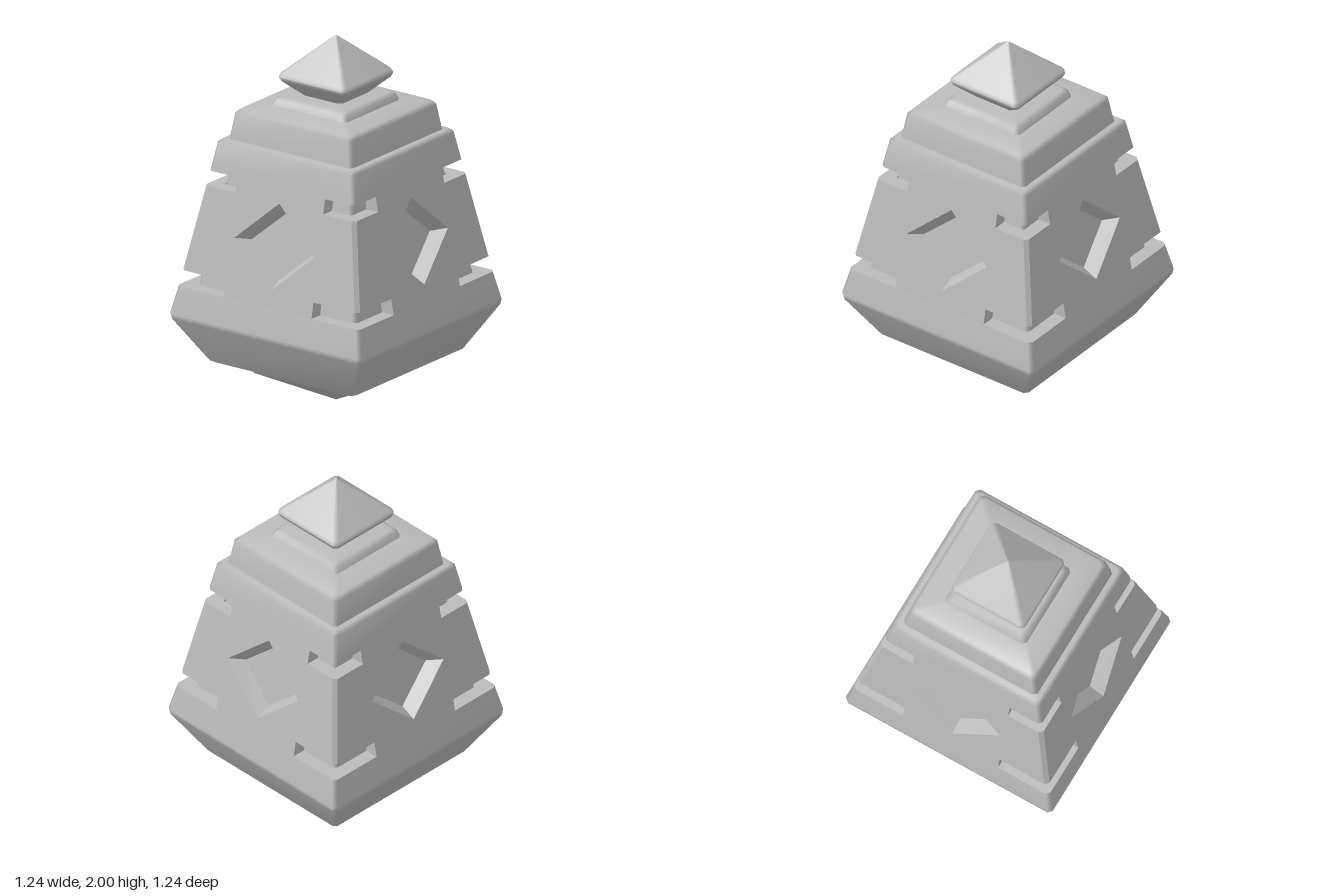
import * as THREE from 'three';

const CHAMFER = 0.02; // width of the softened vertical edges
const DEPTH = 0.075; // depth of the notches and diamond recesses
const wallHalf = (y) => 0.62 - 0.1865 * (y - 0.5); // half width of the tapering wall

// Joins rings of points, listed from bottom to top, into one surface
function loft(rings) {
  const n = rings[0].length;
  const index = [];
  for (let r = 0; r < rings.length - 1; r++) {
    for (let i = 0; i < n; i++) {
      const a = r * n + i, b = r * n + (i + 1) % n;
      index.push(a, a + n, b, b, a + n, b + n);
    }
  }
  const geometry = new THREE.BufferGeometry();
  geometry.setAttribute('position', new THREE.Float32BufferAttribute(rings.flat(2), 3));
  geometry.setIndex(index);
  geometry.computeVertexNormals();
  return geometry;
}

// Square ring with chamfered corners
function squareRing(h, y) {
  const k = h - Math.min(CHAMFER, h * 0.5);
  return [[h, y, -k], [h, y, k], [k, y, h], [-k, y, h],
    [-h, y, k], [-h, y, -k], [-k, y, -h], [k, y, -h]];
}

// Square tier from [half width, y, bevel] points; a bevel of 0 leaves a sharp edge
function tier(profile) {
  const rings = [];
  profile.forEach(([h, y, bevel = 0.018], i) => {
    const ends = [profile[i - 1], profile[i + 1]];
    if (!ends[0] || !ends[1]) {
      rings.push(squareRing(h, y));
      return;
    }
    for (const [eh, ey] of ends) {
      const length = Math.hypot(eh - h, ey - y);
      const t = Math.min(bevel / length, 0.4);
      rings.push(squareRing(h + (eh - h) * t, y + (ey - y) * t));
    }
  });
  return loft(rings);
}

// One sloping wall with corner notches and a tapering diamond recess
function wallGeometry() {
  const edge = (y) => wallHalf(y) - CHAMFER;
  const right = [[0.285, 0.665], [0.285, 0.75], [edge(0.75), 0.75],
    [edge(1.21), 1.21], [0.285, 1.21], [0.285, 1.29]];
  const left = right.map(([x, y]) => [-x, y]).reverse();
  const shape = new THREE.Shape([...right, ...left].map((p) => new THREE.Vector2(...p)));
  const diamond = [[0, 0.75], [-0.26, 0.98], [0, 1.21], [0.26, 0.98]];
  shape.holes.push(new THREE.Path([...diamond, diamond[0]].map((p) => new THREE.Vector2(...p))));

  const geometry = new THREE.ExtrudeGeometry(shape, { depth: DEPTH, bevelEnabled: false });
  const pos = geometry.attributes.position;
  for (let i = 0; i < pos.count; i++) {
    let x = pos.getX(i), y = pos.getY(i);
    const inner = pos.getZ(i) < DEPTH / 2;
    if (inner && Math.abs(x) < 0.28) {
      x *= 0.77;
      y = 0.965 + (y - 0.98) * 0.76;
    } else if (inner && Math.abs(x) > 0.3) {
      x = Math.sign(x) * (wallHalf(y) - DEPTH);
    }
    pos.setXYZ(i, x, y, wallHalf(y) - (inner ? DEPTH : 0));
  }
  geometry.computeVertexNormals();
  return geometry;
}

// Chamfered corner that closes the mitre between two walls
function cornerGeometry() {
  const ring = (y) => {
    const h = wallHalf(y);
    return [[h, y, h - CHAMFER], [h - CHAMFER, y, h], [h - DEPTH, y, h - DEPTH]];
  };
  const middle = (y) => Array(3).fill([wallHalf(y) - 0.03, y, wallHalf(y) - 0.03]);
  const geometry = loft([middle(0.75), ring(0.75), ring(1.21), middle(1.21)]).toNonIndexed();
  geometry.computeVertexNormals();
  return geometry;
}

export function createModel() {
  const model = new THREE.Group();
  model.name = 'steppedLantern';
  const stone = new THREE.MeshStandardMaterial({ color: 0xbbbbbb });
  stone.name = 'greyStone';

  const add = (name, geometry, angle = 0) => {
    const mesh = new THREE.Mesh(geometry, stone);
    mesh.name = name;
    mesh.rotation.y = angle;
    model.add(mesh);
  };

  // Stacked tiers, from the bottom point to the finial
  add('bottomPoint', tier([[0.004, 0], [0.325, 0.175, 0.012], [0.325, 0.25]]));
  add('base', tier([[0.01, 0.235], [0.47, 0.235], [0.625, 0.5, 0.015],
    [wallHalf(0.665), 0.665, 0], [0.4, 0.665]]));
  add('core', tier([[wallHalf(0.66) - DEPTH, 0.66], [wallHalf(1.295) - DEPTH, 1.295]]));
  add('upperBand', tier([[0.3, 1.29], [wallHalf(1.29), 1.29, 0],
    [0.442, 1.46], [0.3, 1.46]]));
  add('shoulder', tier([[0.403, 1.45], [0.378, 1.615], [0.24, 1.635], [0.01, 1.635]]));
  add('collar', tier([[0.25, 1.615], [0.225, 1.68], [0.01, 1.68]]));
  add('finial', tier([[0.115, 1.67], [0.22, 1.772, 0.012], [0.22, 1.797, 0.012], [0.004, 2]]));

  // Four recessed walls and the corners between them
  const wall = wallGeometry();
  const corner = cornerGeometry();
  for (let i = 0; i < 4; i++) {
    add('wall', wall, i * Math.PI / 2);
    add('wallCorner', corner, i * Math.PI / 2);
  }
  return model;
}
